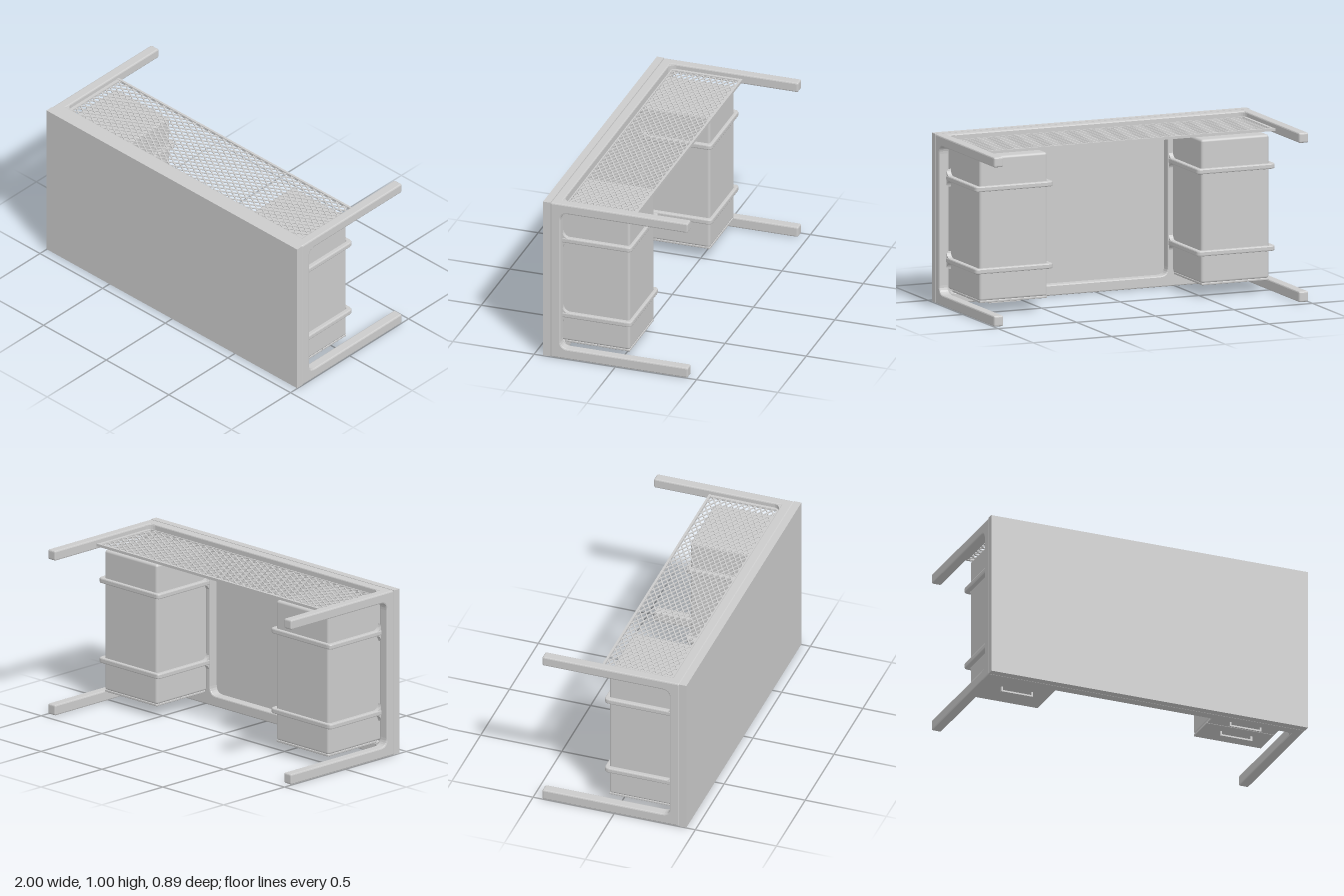
import * as THREE from 'three';
import { mergeGeometries } from 'three/addons/utils/BufferGeometryUtils.js';
import { RoundedBoxGeometry } from 'three/addons/geometries/RoundedBoxGeometry.js';

const grey = new THREE.MeshStandardMaterial({ color: 0xcccccc });

function add(parent, geometry, name) {
  const mesh = new THREE.Mesh(geometry, grey);
  mesh.name = name;
  parent.add(mesh);
  return mesh;
}

// Box given by its limits on each axis, optionally with rounded edges
function span(x0, x1, y0, y1, z0, z1, r = 0) {
  const size = [x1 - x0, y1 - y0, z1 - z0];
  const g = r ? new RoundedBoxGeometry(...size, 2, r) : new THREE.BoxGeometry(...size);
  return g.translate((x0 + x1) / 2, (y0 + y1) / 2, (z0 + z1) / 2);
}

// Polygon whose corners [x, y, radius] are rounded
function roundedPoly(points, target = new THREE.Shape()) {
  const n = points.length;
  points.forEach(([x, y, r = 0], i) => {
    const p = new THREE.Vector2(x, y);
    const toward = (q) => new THREE.Vector2(q[0], q[1]).sub(p).setLength(r).add(p);
    const a = toward(points[(i + n - 1) % n]);
    const b = toward(points[(i + 1) % n]);
    if (i === 0) target.moveTo(a.x, a.y);
    else target.lineTo(a.x, a.y);
    if (r) target.quadraticCurveTo(x, y, b.x, b.y);
  });
  target.closePath();
  return target;
}

const rect = (x0, x1, y0, y1, r) => [[x0, y0, r], [x1, y0, r], [x1, y1, r], [x0, y1, r]];

// Concave corner filler at (x, y), reaching r along both sides
function fillet(x, y, dx, dy, r) {
  const s = new THREE.Shape();
  s.moveTo(x, y);
  s.lineTo(x + dx * r, y);
  s.quadraticCurveTo(x + dx * r * 0.1, y + dy * r * 0.1, x, y + dy * r);
  return s;
}

function extrude(shape, depth, bevel = 0) {
  return new THREE.ExtrudeGeometry(shape, {
    depth: depth - 2 * bevel, curveSegments: 6, bevelEnabled: bevel > 0,
    bevelSize: bevel, bevelOffset: -bevel, bevelThickness: bevel, bevelSegments: 2,
  }).translate(0, 0, bevel);
}

// Shape drawn in (-z, y), extruded towards +x from x0
const alongX = (shape, x0, x1, bevel) =>
  extrude(shape, x1 - x0, bevel).rotateY(Math.PI / 2).translate(x0, 0, 0);
// Shape drawn in (x, z), extruded downwards from y1
const alongY = (shape, y0, y1, bevel) =>
  extrude(shape, y1 - y0, bevel).rotateX(Math.PI / 2).translate(0, y1, 0);

// Diamond lattice of flat strands, clipped to a rectangle
function lattice(x0, x1, z0, z1, y) {
  const strands = [];
  const pitch = 0.06, slope = 0.6, run = (z1 - z0) / slope;
  for (const dir of [1, -1]) {
    for (let c = x0 - run + pitch / 2; c < x1; c += pitch) {
      const a = Math.max(c, x0), b = Math.min(c + run, x1);
      if (b - a < 0.01) continue;
      const zAt = (x) => (dir > 0 ? z0 + (x - c) * slope : z1 - (x - c) * slope);
      const dz = zAt(b) - zAt(a);
      const g = new THREE.BoxGeometry(Math.hypot(b - a, dz), 0.006, 0.007);
      g.rotateY(-Math.atan2(dz, b - a));
      strands.push(g.translate((a + b) / 2, y, (zAt(a) + zAt(b)) / 2));
    }
  }
  return mergeGeometries(strands);
}

// Bail handle hanging under a drawer front
function handle(x, z) {
  const w = 0.1, top = 0.072, low = 0.04;
  return mergeGeometries([
    span(x - w, x + w, low, low + 0.01, z - 0.005, z + 0.005),
    span(x - w, x - w + 0.01, low, top, z - 0.005, z + 0.005),
    span(x + w - 0.01, x + w, low, top, z - 0.005, z + 0.005),
  ]);
}

export function createModel() {
  const desk = new THREE.Group();
  desk.name = 'desk';

  add(desk, span(-1, 1, 0.003, 1, 0.4, 0.445), 'tableTop');

  // Frame behind the top, with three rounded openings
  const frame = roundedPoly(rect(-1, 1, 0, 1, 0.012));
  for (const [a, b] of [[-0.94, -0.49], [-0.455, 0.455], [0.49, 0.94]]) {
    frame.holes.push(roundedPoly(rect(a, b, 0.064, 0.94, 0.05), new THREE.Path()));
  }
  add(desk, extrude(frame, 0.06, 0.007).translate(0, 0, 0.341), 'frame');

  for (const side of [1, -1]) {
    const half = new THREE.Group();
    half.name = side > 0 ? 'leftHalf' : 'rightHalf';
    desk.add(half);
    // Mirrored x limits, in ascending order
    const mx = (a, b) => (side > 0 ? [a, b] : [-b, -a]);

    // Pair of legs joined by the side bar
    const legs = roundedPoly([
      [-0.402, 0, 0.012], [0.445, 0, 0.012], [0.445, 0.064, 0.012], [-0.341, 0.064, 0.05],
      [-0.341, 0.94, 0.05], [0.445, 0.94, 0.012], [0.445, 1, 0.012], [-0.402, 1, 0.012],
    ]);
    add(half, alongX(legs, ...mx(0.94, 1), 0.008), 'legs');
    for (const [y0, y1] of [[0.005, 0.06], [0.945, 0.995]]) {
      add(half, alongY(fillet(side * 0.942, 0.343, -side, -1, 0.05), y0, y1), 'legFillet');
    }

    // Drawer cabinet
    add(half, span(...mx(0.49, 0.92), 0.08, 0.93, -0.06, 0.4, 0.015), 'cabinet');

    // Straps wrapped round the cabinet
    for (const y of [0.26, 0.745]) {
      const u = roundedPoly([
        [0.458, 0.36], [0.458, -0.08, 0.03], [0.955, -0.08, 0.03], [0.955, 0.36],
        [0.922, 0.36], [0.922, -0.055, 0.01], [0.49, -0.055, 0.01], [0.49, 0.36],
      ].map(([x, z, r]) => [side * x, z, r]));
      add(half, alongY(u, y - 0.016, y + 0.016, 0.007), 'strap');
      for (const [a, b] of [[0.461, 0.487], [0.925, 0.952]]) {
        for (const d of [1, -1]) {
          add(half, alongX(fillet(-0.343, y + d * 0.013, 1, d, 0.04), ...mx(a, b)), 'strapFillet');
        }
      }
    }

    // Two drawers on the left, one on the right
    const drawers = side > 0 ? [[-0.06, 0.138, 0.07], [0.142, 0.34, 0.21]] : [[-0.06, 0.34, 0.13]];
    for (const [z0, z1, hz] of drawers) {
      add(half, span(...mx(0.492, 0.918), 0.07, 0.084, z0, z1, 0.004), 'drawerFront');
      add(half, handle(side * 0.705, hz), 'drawerHandle');
    }
  }

  // Mesh panel with its rim
  const panel = new THREE.Group();
  panel.name = 'meshPanel';
  desk.add(panel);
  add(panel, lattice(-0.93, 0.93, -0.095, 0.325, 0.965), 'lattice');
  add(panel, span(-0.94, 0.94, 0.957, 0.973, -0.104, -0.09), 'backRim');
  add(panel, span(-0.94, 0.94, 0.959, 0.971, 0.322, 0.33), 'frontRim');
  for (const s of [1, -1]) {
    add(panel, span(s * 0.93 - 0.01, s * 0.93 + 0.01, 0.959, 0.971, -0.1, 0.33), 'sideRim');
  }
  return desk;
}
